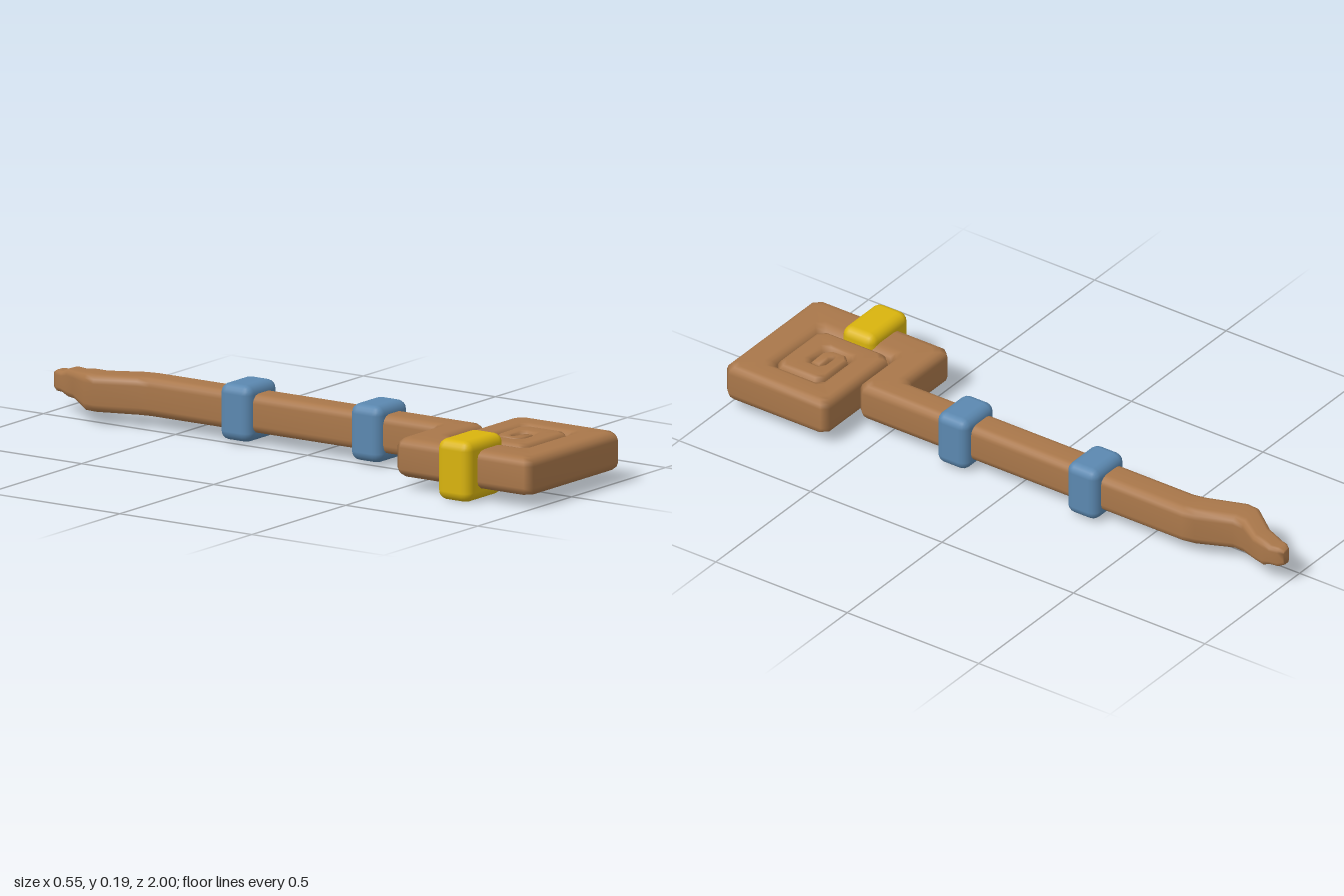
import * as THREE from 'three';
import { RoundedBoxGeometry } from 'three/addons/geometries/RoundedBoxGeometry.js';

const MID_Y = 0.098;

// Stations along the staff: [side A x, z, side B x, z, half height]
const STATIONS = [
  // crooked tip
  [0.085, -1.0, 0.055, -1.0, 0.026],
  [0.101, -0.975, 0.04, -0.98, 0.034],
  [0.105, -0.91, 0.03, -0.92, 0.045],
  [0.055, -0.81, -0.055, -0.8, 0.06],
  [0.12, -0.66, 0.01, -0.63, 0.062],
  // squared spiral, from the shaft inwards
  [0.12, 0.6, 0.01, 0.485, 0.062],
  [-0.08, 0.6, -0.225, 0.485, 0.062],
  [-0.08, 0.88, -0.225, 1.0, 0.062],
  [0.17, 0.88, 0.27, 1.0, 0.062],
  [0.17, 0.7, 0.27, 0.607, 0.062],
  [0.0, 0.7, -0.08, 0.607, 0.062],
  [0.0, 0.8, -0.08, 0.88, 0.062],
  [0.09, 0.8, 0.17, 0.88, 0.062],
  [0.09, 0.75, 0.17, 0.7, 0.062],
  [0.03, 0.75, 0.0, 0.7, 0.06],
  [0.03, 0.755, 0.0, 0.8, 0.058],
  [0.085, 0.755, 0.085, 0.8, 0.055],
];

// Moves a point towards another by a limited distance
function towards(p, q, amount) {
  const d = p.distanceTo(q);
  return d < 1e-6 ? p.clone() : p.clone().lerp(q, Math.min(amount / d, 0.3));
}

// Splits every inner station in two so that corners are rounded off
function roundedStations() {
  const s = STATIONS.map(([ax, az, bx, bz, h]) => ({
    a: new THREE.Vector2(ax, az), b: new THREE.Vector2(bx, bz), h,
  }));
  const rings = [];
  s.forEach((c, i) => {
    if (i === 0 || i === s.length - 1) { rings.push(c); return; }
    for (const n of [s[i - 1], s[i + 1]]) {
      rings.push({ a: towards(c.a, n.a, 0.022), b: towards(c.b, n.b, 0.022), h: c.h });
    }
  });
  return rings;
}

// Rounded rectangle section, counter-clockwise, in the range -1 to 1
function sectionPoints() {
  const rx = 0.5, ry = 0.45, steps = 3, pts = [];
  [[1, 1], [-1, 1], [-1, -1], [1, -1]].forEach(([sx, sy], q) => {
    for (let i = 0; i <= steps; i++) {
      const t = (q + i / steps) * Math.PI / 2;
      pts.push([sx * (1 - rx) + rx * Math.cos(t), sy * (1 - ry) + ry * Math.sin(t)]);
    }
  });
  return pts;
}

function staffGeometry() {
  const rings = roundedStations(), section = sectionPoints(), n = section.length;
  const pos = [], index = [];
  for (const { a, b, h } of rings) {
    for (const [u, v] of section) {
      const p = b.clone().lerp(a, (u + 1) / 2);
      pos.push(p.x, MID_Y + v * h, p.y);
    }
  }
  for (let k = 0; k < rings.length - 1; k++) {
    for (let i = 0; i < n; i++) {
      const j = (i + 1) % n, p = k * n, q = p + n;
      index.push(p + i, p + j, q + j, p + i, q + j, q + i);
    }
  }
  // end caps
  const last = (rings.length - 1) * n;
  for (let i = 1; i < n - 1; i++) {
    index.push(0, i + 1, i, last, last + i, last + i + 1);
  }
  const g = new THREE.BufferGeometry();
  g.setAttribute('position', new THREE.Float32BufferAttribute(pos, 3));
  g.setIndex(index);
  g.computeVertexNormals();
  return g;
}

export function createModel() {
  const group = new THREE.Group();
  group.name = 'spiralStaff';
  const material = (name, color) => {
    const m = new THREE.MeshStandardMaterial({ color });
    m.name = name;
    return m;
  };
  const wood = material('wood', 0xa9774a);
  const blue = material('blueBand', 0x5b88b0);
  const gold = material('goldBand', 0xd9b40e);

  const staff = new THREE.Mesh(staffGeometry(), wood);
  staff.name = 'woodenStaff';
  group.add(staff);

  // Rounded bands wrapped around the wood
  const band = (name, mat, size, x, y, z) => {
    const m = new THREE.Mesh(new RoundedBoxGeometry(...size, 2, 0.03), mat);
    m.name = name;
    m.position.set(x, y, z);
    group.add(m);
  };
  band('lowerBlueBand', blue, [0.163, 0.18, 0.118], 0.068, MID_Y, 0.222);
  band('upperBlueBand', blue, [0.163, 0.18, 0.118], 0.068, MID_Y, -0.272);
  band('goldBand', gold, [0.2, 0.193, 0.124], -0.175, 0.0965, 0.741);
  return group;
}
